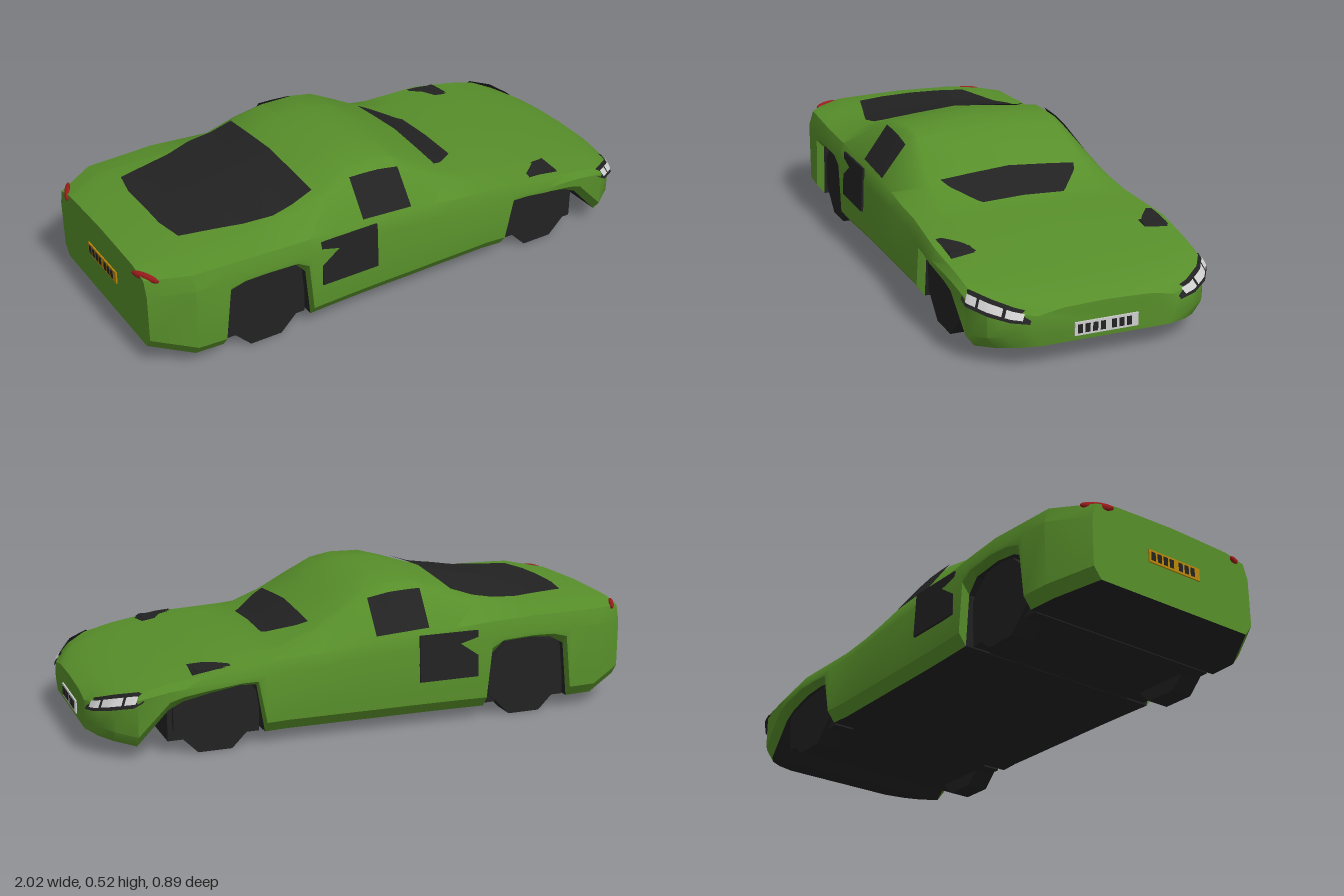
import * as THREE from 'three';
import { toCreasedNormals } from 'three/addons/utils/BufferGeometryUtils.js';

// Flat colours
const mat = (name, color, side = THREE.FrontSide) => {
  const m = new THREE.MeshStandardMaterial({ color, side });
  m.name = name;
  return m;
};

// Body stations: x, half width, waist y, roof edge z, roof edge y, centre y
const STATIONS = [
  [-1, .35, .35, .25, .368, .375],
  [-.86, .43, .368, .3, .393, .40],
  [-.6, .445, .37, .3, .398, .42],
  [-.42, .44, .36, .3, .425, .455],
  [-.3, .435, .35, .3, .465, .487],
  [-.2, .432, .345, .285, .495, .51],
  [-.08, .43, .34, .275, .5, .515],
  [0, .43, .335, .275, .485, .50],
  [.1, .428, .325, .29, .43, .455],
  [.2, .427, .31, .3, .373, .398],
  [.33, .425, .30, .3, .318, .332],
  [.58, .445, .285, .3, .295, .303],
  [.75, .437, .26, .3, .268, .273],
  [.86, .43, .235, .3, .245, .25],
  [.93, .385, .21, .28, .225, .23],
  [.97, .335, .19, .22, .21, .215],
  [1, .26, .18, .15, .195, .2],
];
// Lower edge of the body with the wheel arches: x, y
const SILL = [
  [-1, .08], [-.86, .046], [-.757, .046], [-.735, .25], [-.68, .28], [-.6, .288], [-.48, .28],
  [-.435, .23], [-.417, .046], [.41, .046], [.44, .22], [.5, .225], [.6, .212], [.7, .19],
  [.75, .165], [.86, .048], [1, .075],
];

// Linear lookup in a table keyed by its first column
function lookup(table, x) {
  let i = 0;
  while (i < table.length - 2 && x > table[i + 1][0]) i++;
  const a = table[i], b = table[i + 1], t = (x - a[0]) / (b[0] - a[0]);
  return a.map((v, k) => v + (b[k] - v) * t);
}

// Half section at x as [z, y], from the lower edge to the centre line
function halfSection(x) {
  const [, w, ym, zr, yr, yc] = lookup(STATIONS, x);
  const yb = lookup(SILL, x)[1], zm = w - .018;
  const ys = ym - Math.min(.055, Math.max(.02, (ym - .2) * .4));
  return [
    [w - .03, yb], [w, Math.min(yb + .04, (yb + ys) / 2)], [w, ys], [zm, ym],
    [zm + (zr - zm) * .8 + (yr - ym) * .07, ym + (yr - ym) * .84],
    [zr, yr], [zr * .5, yr + (yc - yr) * .55], [0, yc],
  ];
}

// Height of the upper body at x, z
function topY(x, z) {
  const p = halfSection(x).slice(3).reverse().map(([pz, py]) => [pz, py]);
  return lookup(p, Math.abs(z))[1];
}

// Surface through rows of points, optionally closed at both ends
function surface(rows, caps = false) {
  const n = rows[0].length, index = [];
  for (let i = 0; i < rows.length - 1; i++) {
    for (let j = 0; j < n - 1; j++) {
      const a = i * n + j, c = a + n;
      index.push(a, a + 1, c, a + 1, c + 1, c);
    }
  }
  if (caps) {
    const e = (rows.length - 1) * n;
    for (let j = 1; j < n - 1; j++) index.push(0, j + 1, j, e, e + j, e + j + 1);
  }
  const g = new THREE.BufferGeometry();
  g.setAttribute('position', new THREE.Float32BufferAttribute(rows.flat(2), 3));
  g.setIndex(index);
  return toCreasedNormals(g, .55);
}

// Thin panel following the upper body; outline rows are x, z from, z to
function panel(outline, lift = .007) {
  const rows = [], x0 = outline[0][0], x1 = outline[outline.length - 1][0];
  const nx = Math.ceil((x1 - x0) / .02), nz = 20;
  for (let i = 0; i <= nx; i++) {
    const x = x0 + (x1 - x0) * i / nx, [, za, zb] = lookup(outline, x), row = [];
    for (let j = 0; j <= nz; j++) {
      const z = za + (zb - za) * j / nz;
      row.push([x, topY(x, z) + lift, z]);
    }
    rows.push(row);
  }
  return surface(rows);
}

export function createModel() {
  const car = new THREE.Group();
  car.name = 'car';
  const green = mat('body green', 0x578e2a);
  const dark = mat('dark glass and rubber', 0x222222, THREE.DoubleSide);
  const white = mat('light grey', 0xcfcfcf, THREE.DoubleSide);
  const red = mat('tail light red', 0x9a1c1c);
  const amber = mat('rear plate amber', 0xb8860b);
  const add = (name, geometry, material, x = 0, y = 0, z = 0) => {
    const m = new THREE.Mesh(geometry, material);
    m.name = name;
    m.position.set(x, y, z);
    car.add(m);
    return m;
  };
  const box = (w, h, d) => new THREE.BoxGeometry(w, h, d);

  // Body shell and its dark underside
  const xs = [...new Set([...STATIONS, ...SILL].map(r => r[0]))].sort((a, b) => a - b);
  add('bodyShell', surface(xs.map(x => {
    const h = halfSection(x);
    return [...h.map(([z, y]) => [x, y, -z]), ...h.slice(0, -1).reverse().map(([z, y]) => [x, y, z])];
  }), true), green);
  add('underside', surface(xs.map(x => {
    const [z, y] = halfSection(x)[0];
    return [[x, y, z], [x, y, -z]];
  })), dark);
  add('floor', box(1.5, .1, .62), dark, 0, .097, 0);

  // Wheel wells and eight-sided wheels
  for (const [x, top, name] of [[-.588, .262, 'rear'], [.588, .195, 'front']]) {
    add(name + 'WheelWell', box(.325, top - .047, .77), dark, x, (top + .047) / 2, 0);
    for (const s of [1, -1]) {
      const tyre = new THREE.CylinderGeometry(.157, .157, .085, 8).rotateY(Math.PI / 8).rotateX(Math.PI / 2);
      add(name + 'Wheel', toCreasedNormals(tyre, .3), dark, x, .145, s * .3575);
    }
  }

  // Windscreen and rear window
  add('windscreen', panel([[.2, -.26, .26], [.24, -.242, .242], [.34, -.155, .155]]), dark);
  add('rearWindow', panel([
    [-.835, -.12, .12], [-.815, -.225, .225], [-.65, -.265, .265], [-.5, -.305, .305], [-.335, -.29, .29],
  ]), dark);

  for (const s of [1, -1]) {
    // Side windows, door panels and bonnet vents
    const range = (x, a, b) => (s > 0 ? [x, a, b] : [x, -b, -a]);
    add('sideWindow', panel([range(-.2, .318, .41), range(0, .318, .41)], .009), dark);
    const door = add('doorPanel', box(.225, .168, .008), dark, -.268, .254, s * .434);
    door.rotation.x = -s * .06;
    add('bonnetVent', panel([range(.53, .385, .405), range(.6, .33, .405), range(.66, .31, .405)]), dark);

    // Headlight wrapping the front corner: x, z, lower y, upper y
    const wrap = [
      [.84, .436, .208, .226], [.87, .432, .192, .24], [.94, .386, .178, .226],
      [.982, .325, .163, .204], [1.0, .265, .155, .185],
    ];
    const ribbon = (rows, from, to, out) => surface(rows.map(([x, z, lo, hi]) => [from, to].map(t =>
      [x + out - .022 * t, lo + (hi - lo) * t + out * .5, s * (z + out - .022 * t)])));
    add('headlightSurround', ribbon(wrap, 0, 1, .004), dark);
    for (const [a, b] of [[.865, .9], [.908, .965], [.971, .993]]) {
      const steps = [0, .25, .5, .75, 1].map(t => lookup(wrap, a + (b - a) * t));
      add('headlight', ribbon(steps, .22, .74, .007), white);
    }

    // Tail light
    const lamp = add('tailLight', new THREE.SphereGeometry(1, 14, 8), red, -.985, .352, s * .315);
    lamp.scale.set(.011, .015, .058);
    lamp.rotation.y = s * .45;
  }

  // Number plates with plain bars
  add('frontPlate', box(.008, .046, .226), white, 1.001, .115, 0);
  add('rearPlate', box(.008, .046, .226), amber, -1.001, .235, 0);
  for (const z of [-.08, -.053, -.026, .014, .041, .068, .095]) {
    add('frontPlateBar', box(.004, .03, .017), dark, 1.005, .115, z);
    add('rearPlateBar', box(.004, .03, .017), dark, -1.005, .235, -z);
  }
  return car;
}
